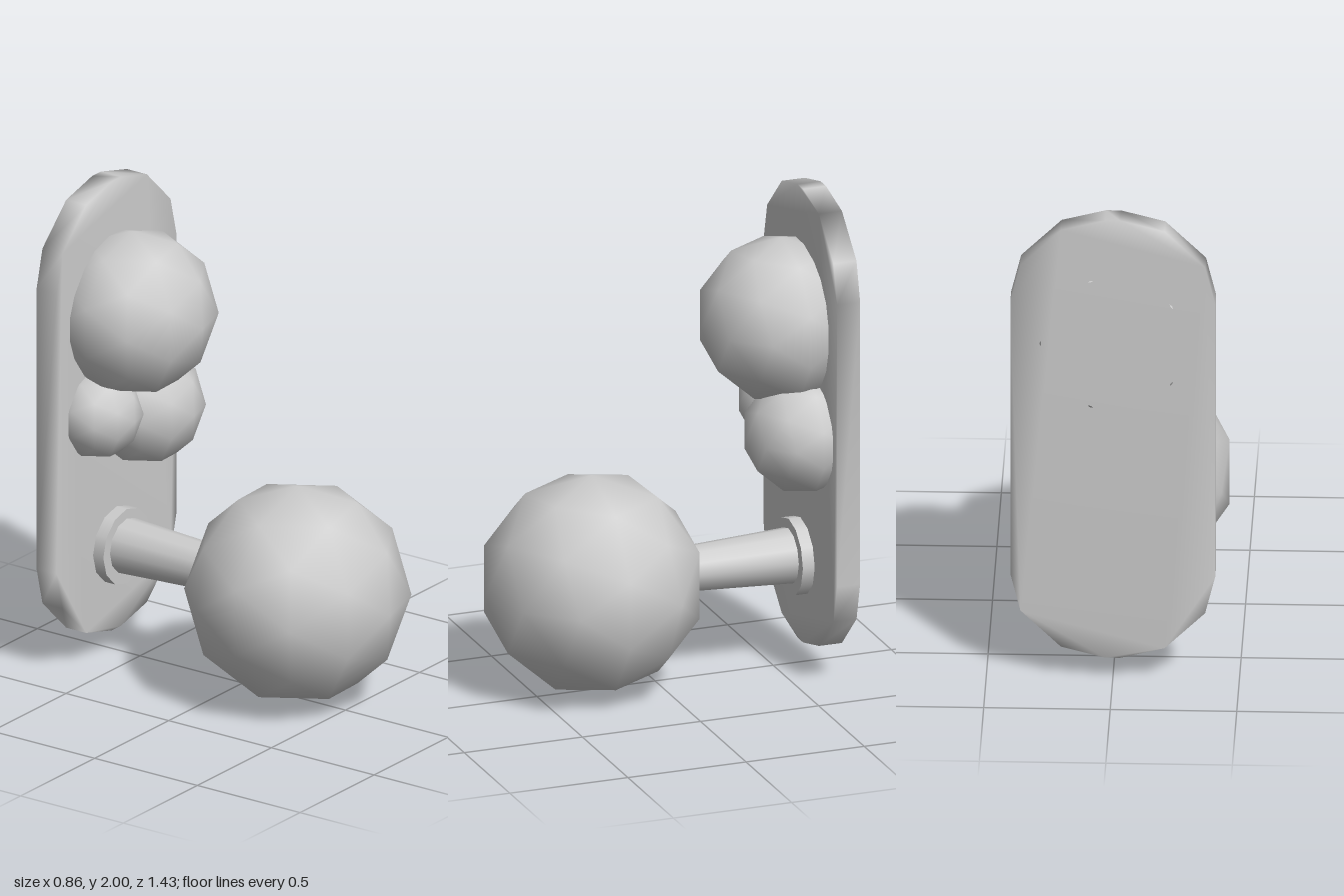
import * as THREE from 'three';
import { mergeVertices } from 'three/addons/utils/BufferGeometryUtils.js';

const grey = new THREE.MeshStandardMaterial({ color: 0xcccccc });

function part(name, geometry, x, y, z) {
  const mesh = new THREE.Mesh(geometry, grey);
  mesh.name = name;
  mesh.position.set(x, y, z);
  return mesh;
}

// Low-poly ball with a pole facing +z
function ball(radius) {
  return new THREE.IcosahedronGeometry(radius, 1).rotateY(-Math.atan((1 + Math.sqrt(5)) / 2));
}

// Ball whose rear cap is pressed flat so it stays inside the plate
function wallBall(radius) {
  const geometry = ball(radius);
  const p = geometry.attributes.position;
  for (let i = 0; i < p.count; i++) {
    if (p.getZ(i) < -0.6 * radius) p.setZ(i, -0.4 * radius);
  }
  return geometry;
}

// Tapered rod along z
function rod(frontRadius, backRadius, length) {
  return new THREE.CylinderGeometry(frontRadius, backRadius, length, 12).rotateX(Math.PI / 2);
}

// Long plate with faceted round ends and normals blended over its edges
function plateGeometry(depth) {
  const quarter = [[0.405, 0.593], [0.365, 0.753], [0.205, 0.908], [0.03, 0.953]];
  const reversed = [...quarter].reverse();
  const outline = [
    ...quarter,
    ...reversed.map(([x, y]) => [-x, y]),
    ...quarter.map(([x, y]) => [-x, -y]),
    ...reversed.map(([x, y]) => [x, -y]),
  ].map(([x, y]) => new THREE.Vector2(x, y));
  const extruded = new THREE.ExtrudeGeometry(new THREE.Shape(outline), { depth, bevelEnabled: false });
  extruded.deleteAttribute('normal');
  extruded.deleteAttribute('uv');
  const geometry = mergeVertices(extruded);
  geometry.computeVertexNormals();
  return geometry;
}

export function createModel() {
  const group = new THREE.Group();
  group.name = 'doorKnob';

  group.add(part('backPlate', plateGeometry(0.097), 0, 1.047, -0.712));

  // Knob on its collar and neck
  group.add(part('collar', rod(0.158, 0.158, 0.07), 0, 0.453, -0.6));
  group.add(part('neck', rod(0.09, 0.115, 0.5), 0, 0.457, -0.35));
  group.add(part('knob', ball(0.45), 0, 0.453, 0.268));

  // Cluster of balls set into the plate
  group.add(part('upperBall', wallBall(0.34), 0, 1.46, -0.535));
  group.add(part('leftBall', wallBall(0.244), 0.133, 1.017, -0.575));
  group.add(part('rightBall', wallBall(0.184), -0.15, 1.06, -0.6));

  return group;
}
